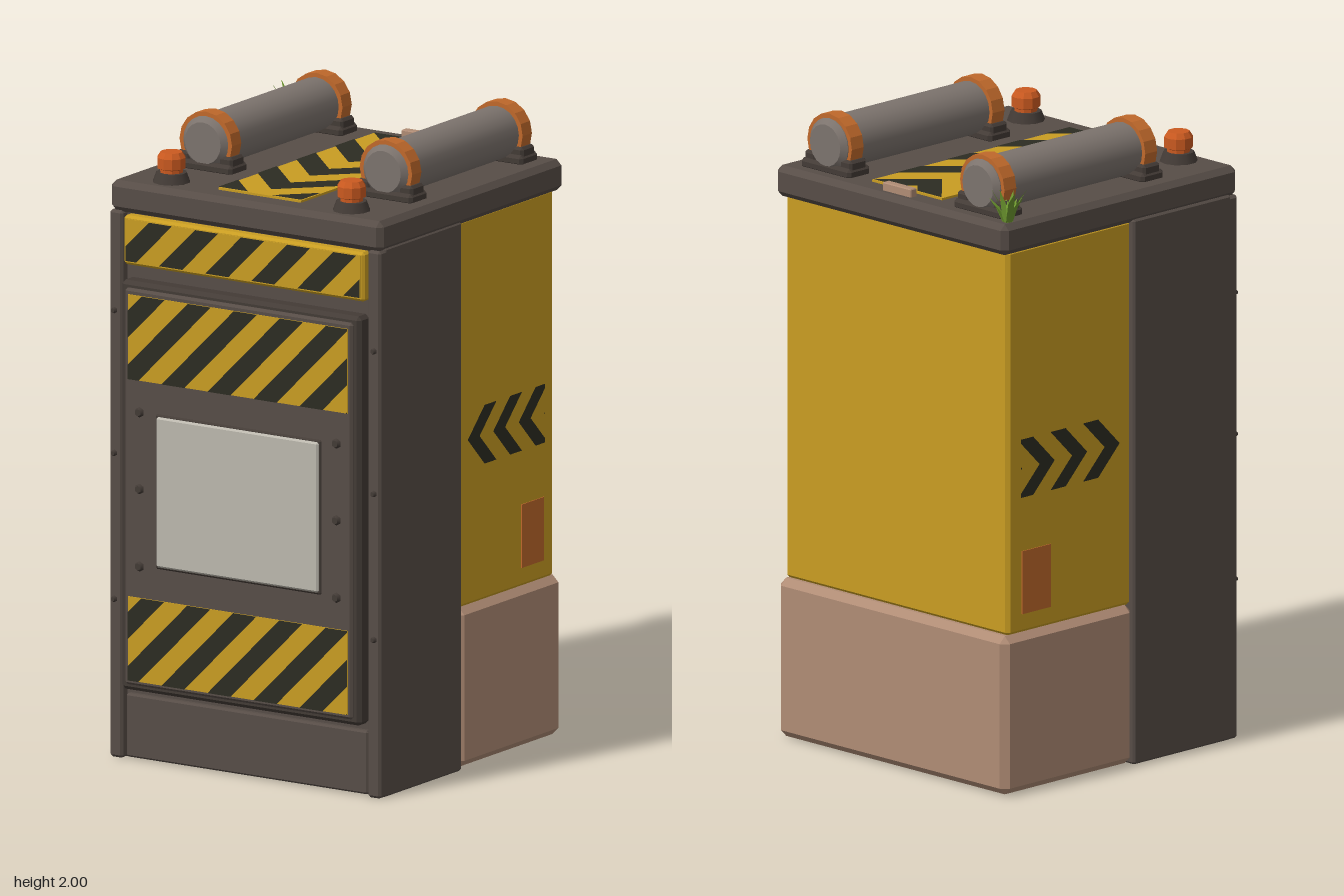
import * as THREE from 'three';
import { ConvexGeometry } from 'three/addons/geometries/ConvexGeometry.js';

const mat = (name, color) => Object.assign(new THREE.MeshStandardMaterial({ color }), { name });
const M = {
  body: mat('brown metal', 0x574d47),
  trim: mat('dark trim', 0x433b36),
  dark: mat('stripe black', 0x2c2c22),
  yellow: mat('safety yellow', 0xc99d22),
  pink: mat('dusty pink', 0xb08c75),
  strap: mat('strap orange', 0xc0692b),
  lamp: mat('lamp orange', 0xcb5a20),
  tube: mat('tube grey', 0x7c736d),
  pane: mat('pane grey', 0xbcb8ae),
  grass: mat('grass green', 0x6f9a30),
};
M.grass.side = THREE.DoubleSide;

// Chamfered box given by its limits on each axis
function chamferBox([x0, x1], [y0, y1], [z0, z1], c) {
  const pts = [];
  for (const sx of [0, 1]) for (const sy of [0, 1]) for (const sz of [0, 1]) {
    for (let axis = 0; axis < 3; axis++) {
      const inset = [c, c, c];
      inset[axis] = 0;
      pts.push(new THREE.Vector3(
        sx ? x1 - inset[0] : x0 + inset[0],
        sy ? y1 - inset[1] : y0 + inset[1],
        sz ? z1 - inset[2] : z0 + inset[2]));
    }
  }
  return new ConvexGeometry(pts);
}

// Keep the part of a polygon where sign * y <= limit
function clip(poly, sign, limit) {
  const out = [];
  poly.forEach((a, i) => {
    const b = poly[(i + 1) % poly.length];
    const da = limit - sign * a.y, db = limit - sign * b.y;
    if (da >= 0) out.push(a);
    if (da * db < 0) out.push(a.clone().lerp(b, da / (da - db)));
  });
  return out;
}

// Slanted bands inside a w by h panel; chevrons are two mirrored halves
function bandGeometry(w, h, starts, width, chevron) {
  const halves = chevron ? [[-w / 2, 0, -1], [0, w / 2, 1]] : [[-w / 2, w / 2, 1]];
  const shapes = [];
  for (const c of starts) for (const [u0, u1, s] of halves) {
    const V = (u, d) => new THREE.Vector2(u, s * u + c + d);
    let p = [V(u0, 0), V(u1, 0), V(u1, width), V(u0, width)];
    p = clip(clip(p, 1, h / 2), -1, h / 2);
    if (p.length > 2) shapes.push(new THREE.Shape(p));
  }
  return new THREE.ShapeGeometry(shapes);
}

const series = (n, start, step) => Array.from({ length: n }, (_, i) => start + i * step);

export function createModel() {
  const model = new THREE.Group();
  model.name = 'wasteUnit';
  const add = (name, geo, material, x = 0, y = 0, z = 0, parent = model) => {
    const mesh = new THREE.Mesh(geo, material);
    mesh.name = name;
    mesh.position.set(x, y, z);
    parent.add(mesh);
    return mesh;
  };
  const block = (name, material, xs, ys, zs, c = 0.01) => add(name, chamferBox(xs, ys, zs, c), material);

  // Main volumes
  block('frontBody', M.body, [-0.49, 0.51], [0, 1.73], [0.035, 0.455], 0.006);
  block('rearHousing', M.yellow, [-0.475, 0.495], [0.505, 1.73], [-0.495, 0.04], 0.012);
  block('rearBase', M.pink, [-0.488, 0.508], [0.005, 0.508], [-0.52, 0.04], 0.022);
  block('lid', M.body, [-0.49, 0.515], [1.72, 1.818], [-0.522, 0.487], 0.018);
  for (const [x0, x1] of [[-0.49, -0.442], [0.462, 0.51]]) {
    block('cornerPost', M.body, [x0, x1], [0, 1.725], [0.42, 0.485], 0.008);
  }
  block('kickPanel', M.body, [-0.435, 0.457], [0.005, 0.205], [0.44, 0.475], 0.006);

  // Door with raised centre panel and pane
  block('doorFrame', M.trim, [-0.434, 0.45], [0.225, 1.515], [0.44, 0.507], 0.012);
  block('doorPanel', M.body, [-0.412, 0.428], [0.245, 1.495], [0.49, 0.518], 0.008);
  block('paneFrame', M.trim, [-0.295, 0.317], [0.625, 1.113], [0.51, 0.523], 0.005);
  block('pane', M.pane, [-0.288, 0.31], [0.632, 1.106], [0.515, 0.53], 0.006);

  // Diagonal hazard panels on the front
  const hazard = (name, y0, y1, w, z) => {
    const h = y1 - y0, y = (y0 + y1) / 2;
    add(name, new THREE.BoxGeometry(w, h, 0.008), M.yellow, 0.009, y, z);
    const first = w / 2 - h / 2 - 0.04;
    add(name + 'Stripes', bandGeometry(w, h, series(9, first + 0.17, -0.17), 0.085, false),
      M.dark, 0.009, y, z + 0.0065);
  };
  hazard('upperHazard', 1.21, 1.477, 0.81, 0.517);
  hazard('lowerHazard', 0.26, 0.525, 0.81, 0.517);
  block('headerBar', M.yellow, [-0.435, 0.453], [1.56, 1.715], [0.44, 0.489], 0.008);
  hazard('headerHazard', 1.573, 1.705, 0.865, 0.488);

  // Bolts on the door and posts
  const bolt = (x, y, z, r) => {
    const b = add('bolt', new THREE.CylinderGeometry(r * 0.6, r, 0.016, 6), M.trim, x, y, z);
    b.rotation.x = Math.PI / 2;
  };
  for (const x of [-0.355, 0.372]) for (const y of [1.11, 0.868, 0.624]) bolt(x, y, 0.521, 0.019);
  for (const x of [-0.47, 0.488]) for (const y of [1.41, 0.96, 0.5]) bolt(x, y, 0.488, 0.012);

  // Arrow marks and tag on both sides of the rear housing
  for (const [s, x] of [[1, 0.495], [-1, -0.475]]) {
    const arrows = add('sideArrows', bandGeometry(0.185, 0.425, series(4, -0.2125, 0.14), 0.065, true),
      M.dark, x + s * 0.003, 1.03, -0.2275);
    arrows.rotation.set(0, s * Math.PI / 2, -s * Math.PI / 2);
    add('sideTag', new THREE.BoxGeometry(0.006, 0.2, 0.123), M.strap, x, 0.667, -0.373);
  }

  // Chevron plate and small tab on the lid
  add('topPlate', new THREE.BoxGeometry(0.305, 0.008, 0.85), M.yellow, 0.0125, 1.821, -0.02);
  const chevrons = add('topChevrons', bandGeometry(0.305, 0.85, series(5, 0.275, -0.2125), 0.106, true),
    M.dark, 0.0125, 1.8275, -0.02);
  chevrons.rotation.x = -Math.PI / 2;
  block('topTab', M.pink, [-0.05, 0.073], [1.815, 1.844], [-0.492, -0.464], 0.003);

  // Canisters, straps, cradles and beacons
  for (const x of [-0.32, 0.345]) {
    const profile = [[0, -0.347], [0.066, -0.347], [0.083, -0.33], [0.083, 0.33], [0.066, 0.347], [0, 0.347]];
    // Repeated points keep the rims sharp
    const pts = profile.flatMap(([r, y]) => [new THREE.Vector2(r, y), new THREE.Vector2(r, y)]).slice(1, -1);
    add('canister', new THREE.LatheGeometry(pts, 20), M.tube, x, 1.903, -0.123).rotation.x = Math.PI / 2;

    for (const z of [-0.425, 0.1815]) {
      const ring = new THREE.CylinderGeometry(0.097, 0.097, 0.051, 16).toNonIndexed();
      ring.computeVertexNormals();
      // Ring stands just outside the canister
      add('strap', ring, M.strap, x, 1.903, z).rotation.x = Math.PI / 2;
      block('cradle', M.trim, [x - 0.108, x + 0.108], [1.81, 1.845], [z - 0.048, z + 0.048], 0.01);
      for (const s of [-1, 1]) {
        const c = x + s * 0.078;
        block('cradleLug', M.trim, [c - 0.025, c + 0.025], [1.83, 1.868], [z - 0.036, z + 0.036], 0.008);
      }
    }

    add('beaconBase', new THREE.CylinderGeometry(0.048, 0.06, 0.032, 10), M.trim, x, 1.832, 0.395);
    const beacon = [[0.036, 1.845], [0.036, 1.858], [0.045, 1.862], [0.045, 1.895], [0.034, 1.912], [0, 1.912]]
      .map(([r, y]) => new THREE.Vector2(r, y));
    const beaconGeo = new THREE.LatheGeometry(beacon, 10).toNonIndexed();
    beaconGeo.computeVertexNormals();
    add('beacon', beaconGeo, M.lamp, x, 0, 0.395);
  }

  // Grass tuft on the rear corner: bent, tapering blades
  const tuft = new THREE.Group();
  tuft.name = 'grassTuft';
  tuft.position.set(-0.455, 1.815, -0.475);
  model.add(tuft);
  for (let i = 0; i < 11; i++) {
    const reach = 0.03 + 0.012 * (i % 4), h = 0.07 + 0.022 * ((i * 2) % 3);
    const geo = new THREE.BufferGeometry();
    geo.setAttribute('position', new THREE.Float32BufferAttribute([
      -0.009, 0, 0, 0.009, 0, 0, 0.01, h * 0.6, reach * 0.4, -0.01, h * 0.6, reach * 0.4, 0, h, reach], 3));
    geo.setIndex([0, 1, 2, 0, 2, 3, 3, 2, 4]);
    geo.computeVertexNormals();
    const a = i * 2.4;
    add('grassBlade', geo, M.grass, Math.sin(a) * 0.012, 0, Math.cos(a) * 0.012, tuft).rotation.y = a;
  }
  return model;
}
